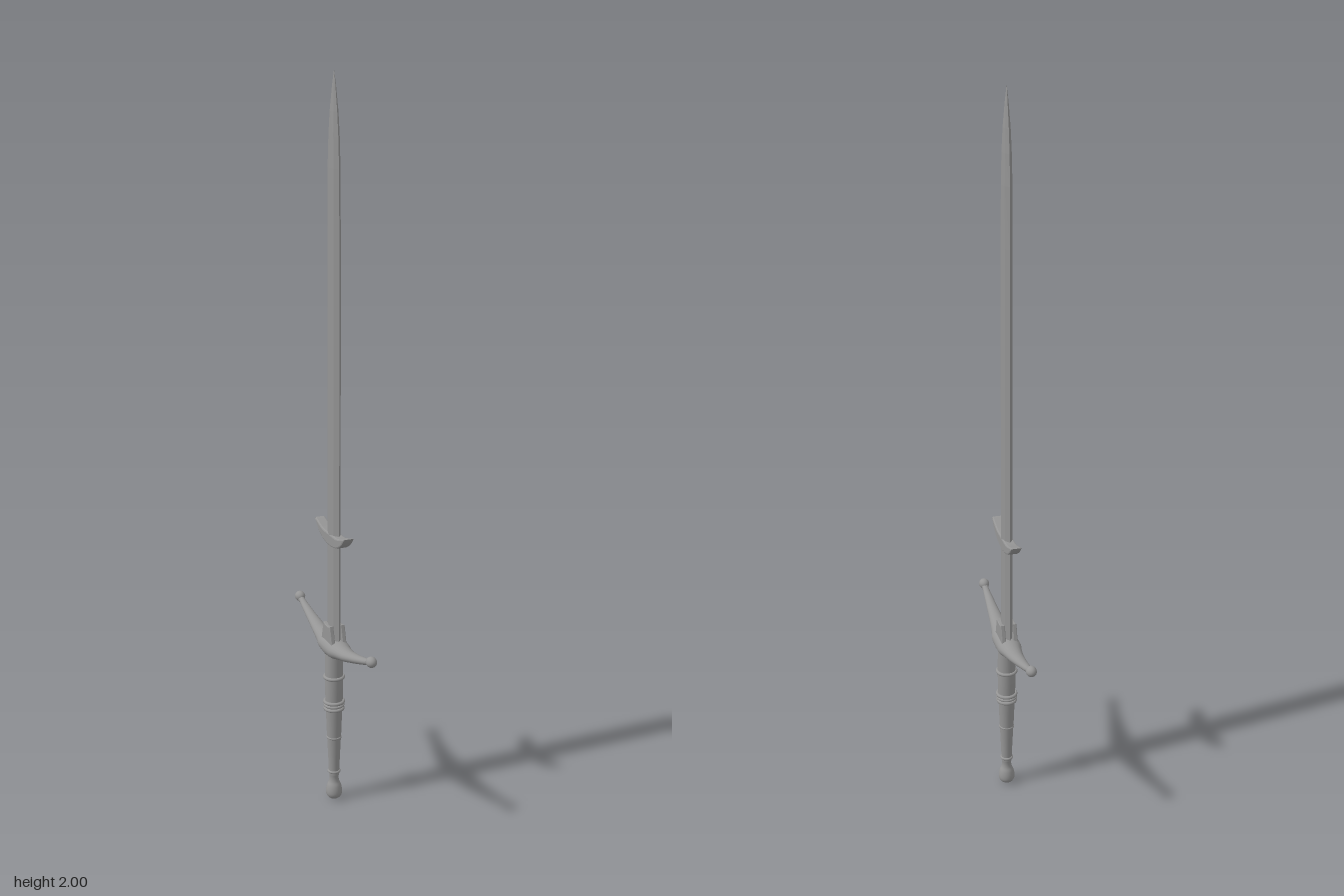
import * as THREE from 'three';

const material = new THREE.MeshStandardMaterial({ color: 0x959595, side: THREE.DoubleSide });

function addMesh(group, name, geometry, flat = false) {
  let mat = material;
  if (flat) {
    mat = material.clone();
    mat.flatShading = true;
  }
  const mesh = new THREE.Mesh(geometry, mat);
  mesh.name = name;
  group.add(mesh);
  return mesh;
}

// Closed skin through rings that all hold the same number of points
function loft(rings) {
  const n = rings[0].length;
  const index = [];
  for (let i = 0; i < rings.length - 1; i++) {
    for (let j = 0; j < n; j++) {
      const a = i * n + j, b = i * n + (j + 1) % n;
      index.push(a, b, a + n, b, b + n, a + n);
    }
  }
  const last = (rings.length - 1) * n;
  for (let j = 1; j < n - 1; j++) {
    index.push(0, j + 1, j, last, last + j, last + j + 1);
  }
  const geometry = new THREE.BufferGeometry();
  geometry.setAttribute('position', new THREE.Float32BufferAttribute(rings.flat(2), 3));
  geometry.setIndex(index);
  geometry.computeVertexNormals();
  return geometry;
}

// Extruded outline drawn in (z, y), centred on x = 0
function sidePlate(shape, thickness, bevel) {
  const geometry = new THREE.ExtrudeGeometry(shape, {
    depth: thickness - 2 * bevel, bevelEnabled: true, bevelSize: bevel,
    bevelThickness: bevel, bevelOffset: -bevel, bevelSegments: 2, curveSegments: 16,
  });
  geometry.translate(0, 0, -(thickness - 2 * bevel) / 2);
  geometry.rotateY(-Math.PI / 2);
  return geometry;
}

export function createModel() {
  const sword = new THREE.Group();
  sword.name = 'sword';

  // Blade: full lens section with a central ridge, [y, half width, half thickness]
  const bladeStations = [
    [0.45, 0.035, 0.015], [1.0, 0.035, 0.015], [1.6, 0.034, 0.0145], [1.76, 0.032, 0.014],
    [1.84, 0.027, 0.0125], [1.9, 0.02, 0.01], [1.96, 0.009, 0.005], [2.0, 0.0004, 0.0003],
  ];
  const section = [[0, 1], [0.7, 0.58], [1, 0], [0.7, -0.58], [0, -1], [-0.7, -0.58], [-1, 0], [-0.7, 0.58]];
  addMesh(sword, 'blade', loft(bladeStations.map(([y, w, t]) =>
    section.map(([a, b]) => [a * t, y, b * w]))), true);

  // Crescent lugs on the lower blade
  const crescent = new THREE.Shape();
  crescent.moveTo(-0.1, 0.805);
  crescent.bezierCurveTo(-0.08, 0.772, -0.045, 0.756, 0, 0.756);
  crescent.bezierCurveTo(0.045, 0.756, 0.08, 0.772, 0.1, 0.805);
  crescent.bezierCurveTo(0.08, 0.803, 0.06, 0.79, 0.034, 0.79);
  crescent.lineTo(-0.034, 0.79);
  crescent.bezierCurveTo(-0.06, 0.79, -0.08, 0.803, -0.1, 0.805);
  addMesh(sword, 'bladeLugs', sidePlate(crescent, 0.03, 0.004));

  // Cross guard: [z, centre y, half width in x, half height]
  const half = [
    [0, 0.461, 0.033, 0.029], [0.035, 0.463, 0.033, 0.025], [0.06, 0.466, 0.027, 0.02],
    [0.1, 0.472, 0.021, 0.016], [0.16, 0.488, 0.015, 0.012], [0.21, 0.503, 0.0105, 0.0095],
    [0.23, 0.51, 0.0085, 0.0085], [0.242, 0.514, 0.011, 0.011],
  ];
  const guardStations = [
    ...half.slice(1).reverse().map(([z, ...rest]) => [-z, ...rest]), ...half,
  ];
  const sides = 20;
  addMesh(sword, 'crossGuard', loft(guardStations.map(([z, y, w, h]) =>
    Array.from({ length: sides }, (_, i) => {
      const a = i / sides * Math.PI * 2;
      return [Math.cos(a) * w, y + Math.sin(a) * h, z];
    }))));

  // Ball ends of the guard
  for (const side of [-1, 1]) {
    const ball = addMesh(sword, 'guardBall', new THREE.SphereGeometry(0.0145, 20, 14));
    ball.position.set(0, 0.517, side * 0.248);
    ball.scale.z = 1.15;
  }

  // Langets clasping both faces of the blade, flaring into the guard
  const tongue = new THREE.Shape();
  tongue.moveTo(-0.04, 0.465);
  tongue.lineTo(0.04, 0.465);
  tongue.quadraticCurveTo(0.03, 0.5, 0.022, 0.53);
  tongue.quadraticCurveTo(0, 0.522, -0.022, 0.53);
  tongue.quadraticCurveTo(-0.03, 0.5, -0.04, 0.465);
  for (const side of [-1, 1]) {
    const langet = addMesh(sword, 'langet', sidePlate(tongue, 0.012, 0.002));
    langet.position.x = side * 0.0165;
  }

  // Grip: handle tapering towards the pommel
  const profile = (points) => points.map(([r, y]) => new THREE.Vector2(r, y));
  addMesh(sword, 'grip', new THREE.LatheGeometry(profile([
    [0.0145, 0.075], [0.016, 0.12], [0.019, 0.185], [0.02, 0.2],
    [0.0225, 0.27], [0.024, 0.3], [0.025, 0.36], [0.0245, 0.45],
  ]), 28));

  // Grip collars: [y, grip radius, ring thickness]
  for (const [y, r, t] of [
    [0.085, 0.0145, 0.004], [0.19, 0.0185, 0.003], [0.278, 0.0245, 0.005],
    [0.288, 0.025, 0.004], [0.298, 0.0255, 0.005], [0.372, 0.0255, 0.005],
  ]) {
    const ring = addMesh(sword, 'gripRing', new THREE.TorusGeometry(r, t, 10, 28));
    ring.rotation.x = Math.PI / 2;
    ring.position.y = y;
  }

  // Pommel: rounded knob below a narrow neck
  addMesh(sword, 'pommel', new THREE.LatheGeometry(new THREE.SplineCurve(profile([
    [0, 0], [0.014, 0.004], [0.0215, 0.014], [0.0225, 0.027], [0.0195, 0.042],
    [0.0145, 0.054], [0.013, 0.066], [0.0145, 0.08],
  ])).getPoints(28), 28));

  return sword;
}
